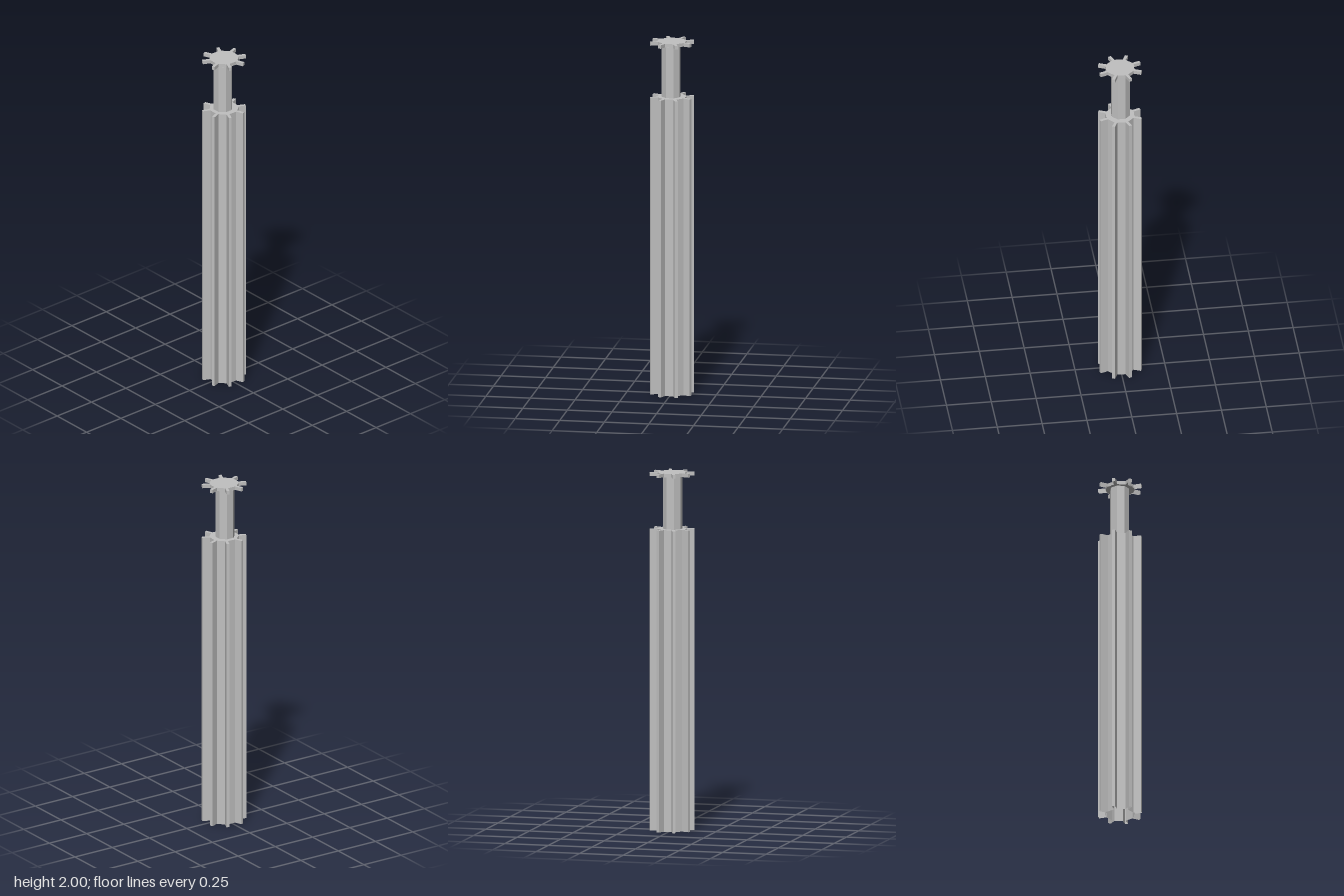
import * as THREE from 'three';

export function createModel() {
  const root = new THREE.Group();
  const grey = new THREE.MeshStandardMaterial({ color: 0xc0c0c0, side: THREE.DoubleSide, flatShading: true });
  grey.name = 'plainGrey';

  // Eight-ribbed outline: every rib has two root and two tip corners
  const outline = [];
  for (let i = 0; i < 8; i++) {
    const a = THREE.MathUtils.degToRad(i * 45 - 24.3);
    const c = Math.cos(a), s = Math.sin(a);
    for (const [r, w] of [[0.081, -0.0085], [0.1235, -0.0085], [0.1235, 0.0085], [0.081, 0.0085]]) {
      outline.push(new THREE.Vector2(r * c - w * s - 0.001, r * s + w * c + 0.001));
    }
  }

  // Shell with a top face and side walls, open underneath
  function ribbedShell(name, bottom, top) {
    const group = new THREE.Group();
    group.name = name;
    const cap = new THREE.ShapeGeometry(new THREE.Shape(outline));
    cap.rotateX(-Math.PI / 2).translate(0, top, 0);
    const pos = [];
    outline.forEach((p, i) => {
      const q = outline[(i + 1) % outline.length];
      const a = [p.x, bottom, -p.y], b = [q.x, bottom, -q.y];
      const c = [q.x, top, -q.y], d = [p.x, top, -p.y];
      pos.push(...a, ...b, ...c, ...a, ...c, ...d);
    });
    const walls = new THREE.BufferGeometry();
    walls.setAttribute('position', new THREE.Float32BufferAttribute(pos, 3));
    walls.computeVertexNormals();
    for (const [part, geo] of [['Top', cap], ['Walls', walls]]) {
      const mesh = new THREE.Mesh(geo, grey);
      mesh.name = name + part;
      group.add(mesh);
    }
    root.add(group);
  }

  ribbedShell('body', 0, 1.685);
  ribbedShell('headPlate', 1.98, 2);

  // Octagonal neck between body and head plate
  const neck = new THREE.Mesh(new THREE.CylinderGeometry(0.054, 0.054, 0.3, 8, 1, true), grey);
  neck.name = 'neck';
  neck.rotation.y = Math.PI / 8;
  neck.position.set(-0.004, 1.835, 0.004);
  root.add(neck);

  // Underside of the head plate core
  const under = new THREE.Mesh(new THREE.CircleGeometry(0.08, 16), grey);
  under.name = 'headPlateUnderside';
  under.rotation.x = Math.PI / 2;
  under.position.y = 1.982;
  root.add(under);

  return root;
}
